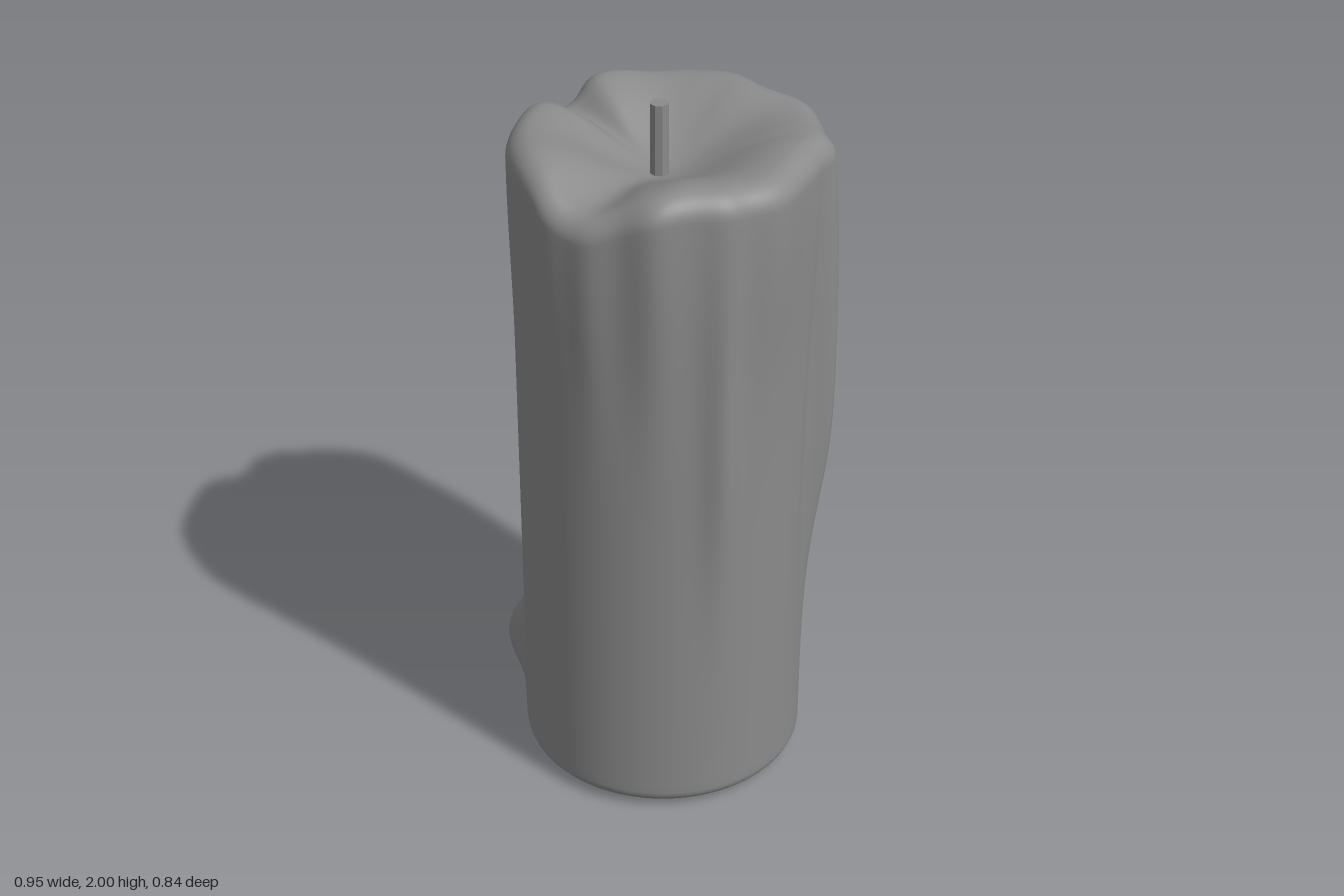
import * as THREE from 'three';

const COLOR = 0x8a8a8a;
// shortest signed difference between two angles
const turn = (a, b) => Math.atan2(Math.sin(a - b), Math.cos(a - b));
const gauss = (d, s) => Math.exp(-(d * d) / (2 * s * s));

// Angles run from +x (0) towards +z (PI / 2).
const FOOT = -2.63;
const BASE = 0.014, POOL = 1.8, RIM = 1.918;

// Wax runs: angle, thickness, half width, height of thickest point, fade below, fade above
const RUNS = [
  [0.0, 0.052, 0.08, 1.08, 0.27, 0.52],
  [0.02, 0.024, 0.22, 1.6, 0.45, 0.5],
  [-0.6, 0.04, 0.14, 1.72, 0.36, 0.3],
  [-0.35, 0.014, 0.14, 1.75, 0.3, 0.3],
  [-1.18, 0.028, 0.11, 1.65, 0.35, 0.3],
  [-1.5, 0.018, 0.17, 1.75, 0.3, 0.3],
  [-1.95, 0.012, 0.12, 1.7, 0.4, 0.3],
  [1.08, 0.03, 0.085, 1.2, 0.33, 0.5],
  [0.72, 0.02, 0.16, 1.75, 0.3, 0.3],
  [1.53, 0.022, 0.11, 1.75, 0.33, 0.3],
  [1.95, 0.018, 0.1, 1.7, 0.3, 0.3],
  [2.24, 0.02, 0.13, 1.7, 0.3, 0.3],
  [FOOT, 0.016, 0.2, 1.0, 0.7, 0.8],
  [-2.34, -0.022, 0.07, 1.75, 0.45, 0.3],
  [0.18, -0.012, 0.05, 1.3, 0.35, 0.35],
];

// Radius of the wax wall at an angle and height
function wallRadius(phi, y) {
  let r = 0.395 + 0.008 * THREE.MathUtils.smoothstep(y, 1.3, 1.8);
  for (const [a, amp, w, peak, below, above] of RUNS) {
    r += amp * gauss(turn(phi, a), w) * gauss(y - peak, y < peak ? below : above);
  }
  // pooled foot of the longest run: a narrow tip on a wider skirt
  const d = turn(phi, FOOT);
  const spread = 0.08 * gauss(d, 0.13) + 0.072 * gauss(d, 0.25);
  return r + spread * gauss(y - 0.11, y < 0.11 ? 0.09 : 0.145);
}

// Height of the melted rim: two sags and gentle waves
function rimHeight(phi) {
  return RIM
    - 0.07 * gauss(turn(phi, 2.02), 0.25)
    - 0.065 * gauss(turn(phi, -2.47), 0.12)
    + 0.012 * gauss(turn(phi, -2.1), 0.2)
    + 0.006 * Math.sin(phi * 5 + 1);
}

// Rows of the wax surface, from the centre of the base to the centre of the melt pool
function makeRows() {
  const rows = [];
  const EDGE = 0.04, LIP = 0.065;
  for (const k of [0, 0.5, 0.9, 0.97]) {
    rows.push((phi) => [(wallRadius(phi, BASE) - EDGE) * k, BASE]);
  }
  // rounded bottom edge, sagging a little under the foot
  for (let i = 0; i <= 6; i++) {
    const a = (i / 6) * Math.PI / 2;
    rows.push((phi) => {
      const y = BASE + EDGE * (1 - Math.cos(a));
      const sag = BASE * gauss(turn(phi, FOOT), 0.14) * Math.cos(a);
      return [wallRadius(phi, y) - EDGE * (1 - Math.sin(a)), y - sag];
    });
  }
  // wall
  const N = 70;
  for (let i = 1; i < N; i++) {
    rows.push((phi) => {
      const y = THREE.MathUtils.lerp(BASE + EDGE, rimHeight(phi) - LIP, i / N);
      return [wallRadius(phi, y), y];
    });
  }
  // rounded lip
  for (let i = 0; i <= 8; i++) {
    const a = (i / 8) * Math.PI / 2;
    rows.push((phi) => {
      const y = rimHeight(phi) - LIP * (1 - Math.sin(a));
      return [wallRadius(phi, y) - LIP * (1 - Math.cos(a)), y];
    });
  }
  // melt pool: the waves of the rim fade out towards a smooth round dish
  const M = 28;
  for (let i = 1; i <= M; i++) {
    const k = 1 - i / M;
    rows.push((phi) => {
      const top = rimHeight(phi);
      const y = POOL + (RIM - POOL) * k * k * (3 - 2 * k) + (top - RIM) * k ** 3 * (4 - 3 * k);
      const r = THREE.MathUtils.lerp(0.34, wallRadius(phi, top) - LIP, k * k);
      return [r * k, y];
    });
  }
  return rows;
}

function waxGeometry() {
  const rows = makeRows(), SEG = 180;
  const positions = [], index = [];
  rows.forEach((row, j) => {
    for (let i = 0; i < SEG; i++) {
      const phi = (i / SEG) * Math.PI * 2;
      const [r, y] = row(phi);
      positions.push(0.01 + r * Math.cos(phi), y, r * Math.sin(phi));
      if (j === rows.length - 1) continue;
      const a = j * SEG + i, b = j * SEG + ((i + 1) % SEG);
      const c = a + SEG, d = b + SEG;
      // the first and last rows are single points, so they need one triangle each
      if (j > 0) index.push(a, c, b);
      if (j < rows.length - 2) index.push(b, c, d);
      if (j === 0) index.push(a, c, d);
    }
  });
  const g = new THREE.BufferGeometry();
  g.setAttribute('position', new THREE.Float32BufferAttribute(positions, 3));
  g.setIndex(index.filter((_, n) => n >= 0));
  g.computeVertexNormals();
  return g;
}

export function createModel() {
  const candle = new THREE.Group();
  candle.name = 'candle';

  const wax = new THREE.Mesh(waxGeometry(), new THREE.MeshStandardMaterial({ color: COLOR }));
  wax.name = 'waxBody';
  candle.add(wax);

  // Wick standing in the melt pool
  const wick = new THREE.Mesh(
    new THREE.CylinderGeometry(0.025, 0.025, 0.25, 8),
    new THREE.MeshStandardMaterial({ color: COLOR, flatShading: true }),
  );
  wick.name = 'wick';
  wick.position.set(0.002, 1.875, 0.02);
  wick.rotation.y = Math.PI / 8;
  candle.add(wick);

  return candle;
}
